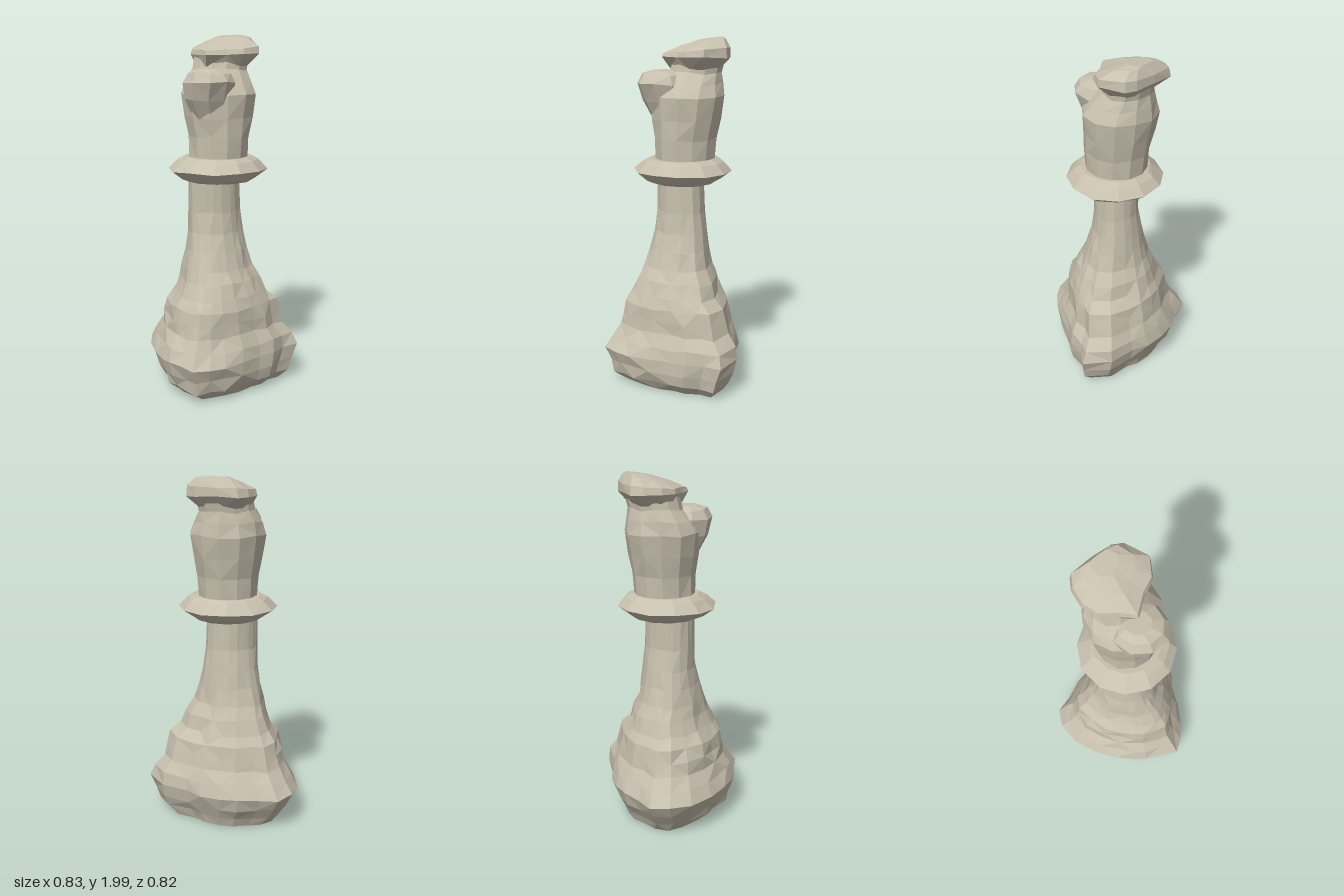
import * as THREE from 'three';

const stone = new THREE.MeshStandardMaterial({ color: 0xc8c0ae });
stone.name = 'warm grey stone';

// Small seeded generator for the rough-hewn facets
function seeded(seed) {
  let s = seed;
  return () => {
    s = (s * 16807) % 2147483647;
    return s / 2147483647 - 0.5;
  };
}

const ring = (n, turn = 0) => Array.from({ length: n }, (_, i) => {
  const a = turn + (i / n) * Math.PI * 2;
  return [Math.cos(a), -Math.sin(a)];
});

// Three-cornered outline of the foot, anticlockwise from above (x, z)
const footOutline = [
  [-0.2, -0.41], [-0.31, -0.37], [-0.37, -0.25], [-0.41, -0.1], [-0.41, 0.04], [-0.41, 0.16],
  [-0.39, 0.23], [-0.33, 0.33], [-0.29, 0.41], [-0.19, 0.4], [-0.1, 0.385], [0.02, 0.34],
  [0.14, 0.28], [0.23, 0.25], [0.31, 0.18], [0.41, 0.15], [0.38, -0.02], [0.25, -0.13],
  [0.2, -0.22], [0.11, -0.29], [0.02, -0.35], [-0.1, -0.37],
];

// Outline of the overhanging crown
const crownOutline = [
  [0.0, -0.285], [-0.07, -0.26], [-0.14, -0.19], [-0.17, -0.1], [-0.14, 0.0], [-0.13, 0.09],
  [0.0, 0.09], [0.09, 0.11], [0.19, 0.07], [0.23, -0.07], [0.2, -0.13], [0.11, -0.21],
];

// Joins stacked loops. Level: [y, xMin, xMax, zMin, zMax, outline amount, tilt x, tilt z]
function loft(name, outline, levels, rough, seed) {
  const rand = seeded(seed);
  const n = outline.length;
  const pos = [];
  const index = [];
  levels.forEach(([y, x0, x1, z0, z1, shape = 1, tx = 0, tz = 0], l) => {
    const pts = outline.map(([x, z]) => {
      const r = Math.hypot(x, z);
      const k = shape / 0.41 + (1 - shape) / r;
      return [x * k, z * k];
    });
    const xs = pts.map((p) => p[0]);
    const zs = pts.map((p) => p[1]);
    const fit = (v, all, lo, hi) =>
      THREE.MathUtils.mapLinear(v, Math.min(...all), Math.max(...all), lo, hi);
    const end = l === 0 || l === levels.length - 1;
    const cx = (x0 + x1) / 2;
    const cz = (z0 + z1) / 2;
    for (const p of pts) {
      const k = 1 + rand() * rough;
      const x = cx + (fit(p[0], xs, x0, x1) - cx) * k;
      const z = cz + (fit(p[1], zs, z0, z1) - cz) * k;
      const dy = end ? 0 : rand() * rough * 0.3;
      pos.push(x, y + dy + (x - cx) * tx + (z - cz) * tz, z);
    }
  });
  for (let l = 0; l < levels.length - 1; l++) {
    for (let i = 0; i < n; i++) {
      const a = l * n + i;
      const b = l * n + ((i + 1) % n);
      if ((i + l) % 2) index.push(a, b, b + n, a, b + n, a + n);
      else index.push(a, b, a + n, b, b + n, a + n);
    }
  }
  // Flat ends
  const top = (levels.length - 1) * n;
  const bottomMid = pos.length / 3;
  for (const l of [levels[0], levels[levels.length - 1]]) {
    pos.push((l[1] + l[2]) / 2, l[0], (l[3] + l[4]) / 2);
  }
  for (let i = 0; i < n; i++) {
    const j = (i + 1) % n;
    index.push(bottomMid, j, i, bottomMid + 1, top + i, top + j);
  }
  const indexed = new THREE.BufferGeometry();
  indexed.setAttribute('position', new THREE.Float32BufferAttribute(pos, 3));
  indexed.setIndex(index);
  const geometry = indexed.toNonIndexed();
  geometry.computeVertexNormals();
  const mesh = new THREE.Mesh(geometry, stone);
  mesh.name = name;
  return mesh;
}

export function createModel() {
  const model = new THREE.Group();
  model.name = 'chessPiece';

  // Three-lobed foot tapering into a round stem
  model.add(loft('footAndStem', footOutline, [
    [0.0, -0.30, 0.30, -0.28, 0.30, 0.9],
    [0.06, -0.36, 0.35, -0.31, 0.36, 0.9],
    [0.13, -0.385, 0.375, -0.36, 0.385, 0.9],
    [0.21, -0.41, 0.41, -0.41, 0.41, 1],
    [0.28, -0.38, 0.39, -0.36, 0.365, 0.9],
    [0.35, -0.345, 0.33, -0.31, 0.32, 0.8],
    [0.42, -0.335, 0.31, -0.30, 0.315, 0.75],
    [0.49, -0.32, 0.29, -0.28, 0.305, 0.7],
    [0.55, -0.285, 0.23, -0.24, 0.28, 0.6],
    [0.63, -0.25, 0.19, -0.21, 0.245, 0.5],
    [0.70, -0.24, 0.145, -0.175, 0.21, 0.4],
    [0.80, -0.22, 0.125, -0.155, 0.175, 0.3],
    [0.90, -0.205, 0.105, -0.14, 0.145, 0.2],
    [1.02, -0.2, 0.09, -0.12, 0.13, 0.1],
    [1.22, -0.2, 0.08, -0.12, 0.13, 0.1],
  ], 0.055, 11));

  // Sharp-edged collar
  model.add(loft('collar', ring(12, 0.2), [
    [1.19, -0.215, 0.15, -0.17, 0.19, 0],
    [1.21, -0.25, 0.18, -0.2, 0.225, 0],
    [1.255, -0.31, 0.235, -0.255, 0.28, 0],
    [1.305, -0.255, 0.19, -0.21, 0.235, 0],
    [1.325, -0.22, 0.15, -0.18, 0.2, 0],
  ], 0.04, 23));

  // Head swelling upwards, pinched below the crown
  model.add(loft('head', ring(12), [
    [1.30, -0.2, 0.14, -0.165, 0.175, 0],
    [1.44, -0.2, 0.145, -0.18, 0.18, 0],
    [1.55, -0.225, 0.17, -0.205, 0.185, 0],
    [1.67, -0.24, 0.19, -0.225, 0.19, 0],
    [1.74, -0.21, 0.17, -0.21, 0.14, 0],
    [1.80, -0.165, 0.15, -0.2, 0.08, 0],
    [1.90, -0.14, 0.17, -0.21, 0.06, 0],
  ], 0.06, 37));

  // Low front lobe
  model.add(loft('frontLobe', ring(9, 0.3), [
    [1.54, -0.19, 0.0, -0.02, 0.15, 0],
    [1.65, -0.24, 0.015, -0.04, 0.2, 0],
    [1.74, -0.25, 0.03, -0.06, 0.24, 0],
    [1.79, -0.225, 0.005, -0.03, 0.21, 0],
    [1.81, -0.18, -0.05, 0.01, 0.15, 0],
  ], 0.05, 51));

  // Overhanging crown, sloping up towards the back
  model.add(loft('crown', crownOutline, [
    [1.82, -0.13, 0.15, -0.2, 0.06, 0.8],
    [1.885, -0.16, 0.22, -0.28, 0.11, 1],
    [1.925, -0.155, 0.22, -0.27, 0.1, 1, 0.08, -0.05],
    [1.965, -0.08, 0.18, -0.22, 0.02, 1, 0.12, -0.1],
    [1.985, 0.0, 0.14, -0.19, -0.06, 1, 0.08, -0.08],
  ], 0.03, 67));

  return model;
}
